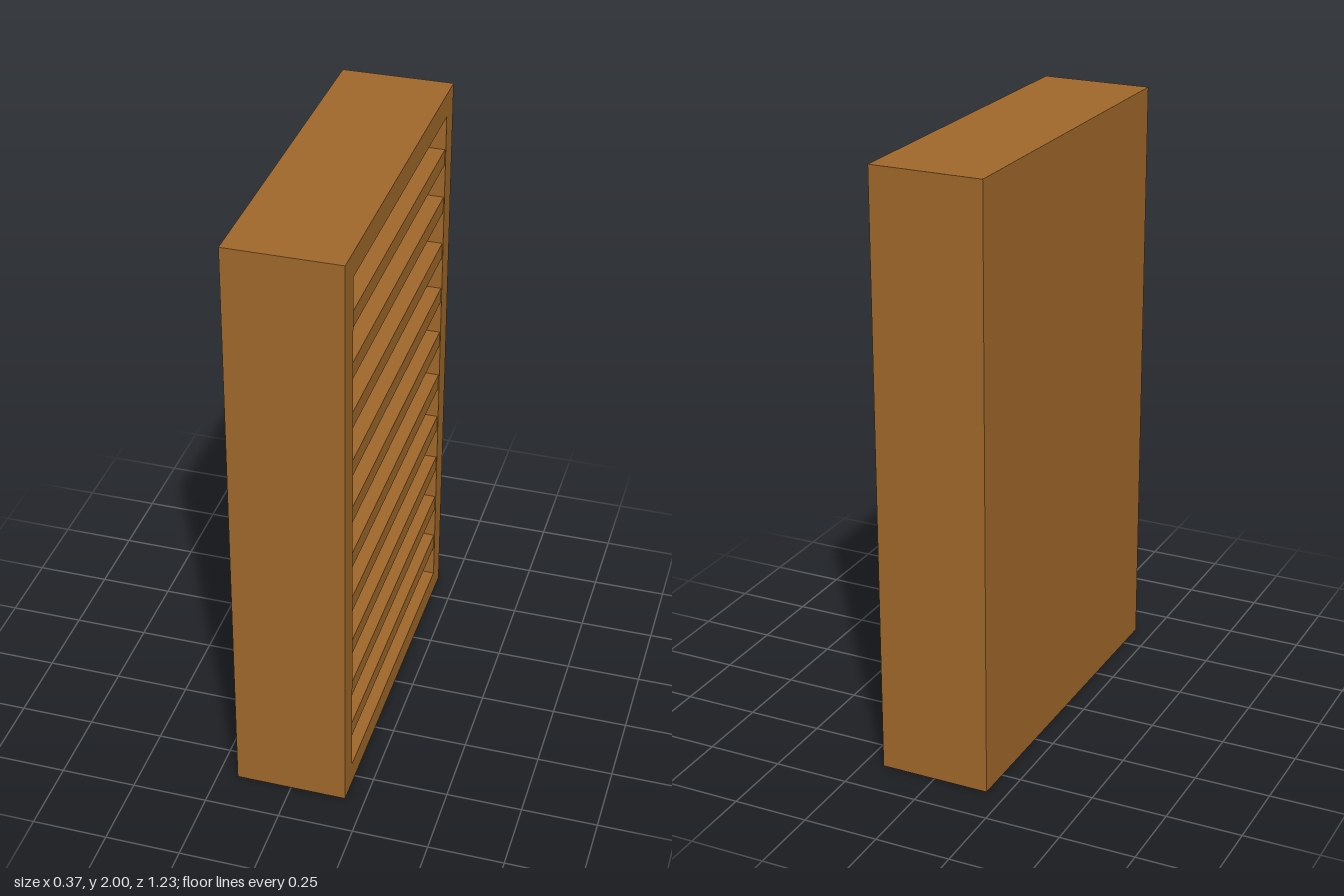
import * as THREE from 'three';

export function createModel() {
  const model = new THREE.Group();
  model.name = 'bookcase';
  const wood = new THREE.MeshStandardMaterial({ color: 0xa1692b });
  wood.name = 'brown wood';

  const W = 1.226, H = 2, D = 0.37;      // width along z, height, depth along x
  const board = 0.081, back = 0.06;      // frame and back thickness
  const shelves = 10, shelfT = 0.056, recess = 0.003;

  // Frame: an outline with a rectangular opening, extruded along x
  const outline = new THREE.Shape([
    new THREE.Vector2(-W / 2, 0), new THREE.Vector2(W / 2, 0),
    new THREE.Vector2(W / 2, H), new THREE.Vector2(-W / 2, H),
  ]);
  const iw = W / 2 - board;
  outline.holes.push(new THREE.Path([
    new THREE.Vector2(-iw, board), new THREE.Vector2(-iw, H - board),
    new THREE.Vector2(iw, H - board), new THREE.Vector2(iw, board),
  ]));
  const frameGeo = new THREE.ExtrudeGeometry(outline, { depth: D, bevelEnabled: false });
  frameGeo.rotateY(Math.PI / 2).translate(-D / 2, 0, 0);
  const frame = new THREE.Mesh(frameGeo, wood);
  frame.name = 'frame';
  model.add(frame);

  const addBox = (name, w, h, d, x, y) => {
    const mesh = new THREE.Mesh(new THREE.BoxGeometry(w, h, d), wood);
    mesh.name = name;
    mesh.position.set(x, y, 0);
    model.add(mesh);
  };

  // Back panel closing the -x side
  addBox('backPanel', back, H - 2 * board, 2 * iw, -D / 2 + back / 2, H / 2);

  // Evenly spaced shelves, open towards +x
  const gap = (H - 2 * board - shelves * shelfT) / (shelves + 1);
  const depth = D - back - recess;
  for (let i = 0; i < shelves; i++) {
    const y = board + gap + shelfT / 2 + i * (gap + shelfT);
    addBox(`shelf${i + 1}`, depth, shelfT, 2 * iw, -D / 2 + back + depth / 2, y);
  }
  return model;
}
